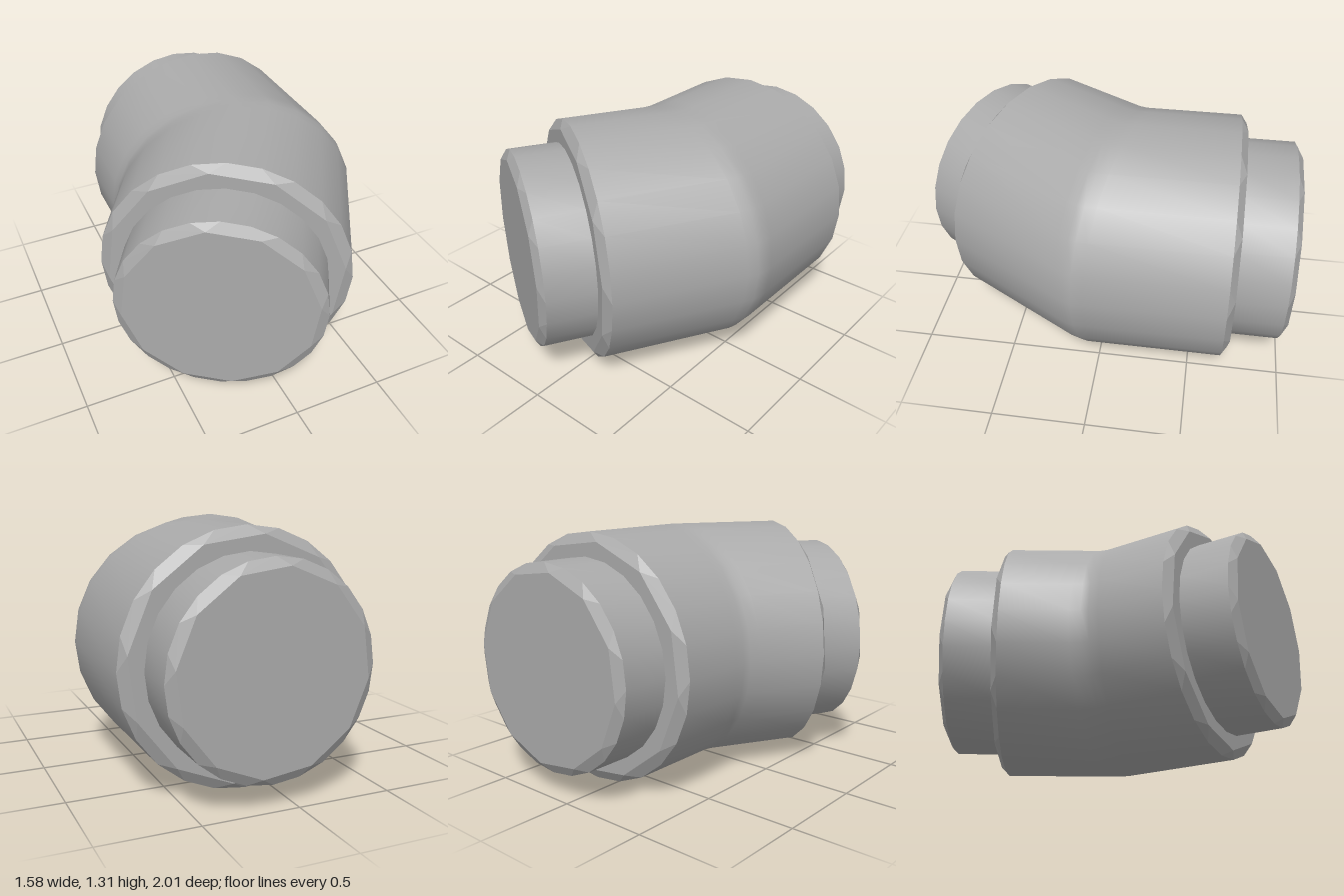
import * as THREE from 'three';

const SIDES = 24;
const BEND = Math.PI / 6;
const MITRE = Math.tan(BEND / 2);
const PIVOT = new THREE.Vector3(0.128, 0.658, -0.057);

// Ring of points round one arm; dir is 1 for the front arm, -1 for the back.
// reach is the distance from the bend, tilt leans the ring along the mitre.
function ring(dir, radius, reach, tilt = 0, sides = SIDES, phase = 0) {
  const turn = dir > 0 ? -BEND : 0;
  return Array.from({ length: sides }, (_, i) => {
    const a = phase + (i / sides) * Math.PI * 2;
    const x = radius * Math.cos(a);
    return new THREE.Vector3(x, radius * Math.sin(a), dir * (reach - x * tilt))
      .applyAxisAngle(new THREE.Vector3(0, 1, 0), turn)
      .add(PIVOT);
  });
}

// Smooth tube through rings ordered from back to front
function tube(rings) {
  const index = [];
  for (let r = 0; r < rings.length - 1; r++) {
    for (let i = 0; i < SIDES; i++) {
      const j = (i + 1) % SIDES;
      const a = r * SIDES + i, b = r * SIDES + j;
      index.push(a, b, b + SIDES, a, b + SIDES, a + SIDES);
    }
  }
  const g = new THREE.BufferGeometry().setFromPoints(rings.flat());
  g.setIndex(index);
  g.computeVertexNormals();
  return g;
}

// Faceted chamfer to a coarser rim, closed by a flat disc
function chamferedEnd(dir, outerRadius, innerRadius, reach, depth) {
  const half = SIDES / 2;
  const outer = ring(dir, outerRadius, reach - depth);
  const inner = ring(dir, innerRadius, reach, 0, half, Math.PI / SIDES);
  const centre = ring(dir, 0, reach, 0, 1)[0];
  const points = [];
  const face = (a, b, c) => points.push(...(dir > 0 ? [a, b, c] : [a, c, b]));
  for (let j = 0; j < half; j++) {
    const o0 = outer[2 * j], o1 = outer[2 * j + 1], o2 = outer[(2 * j + 2) % SIDES];
    const i0 = inner[j], i1 = inner[(j + 1) % half];
    face(o0, o1, i0);
    face(o1, o2, i0);
    face(o2, i1, i0);
    face(centre, i0, i1);
  }
  const g = new THREE.BufferGeometry().setFromPoints(points);
  g.computeVertexNormals();
  return g;
}

export function createModel() {
  const group = new THREE.Group();
  group.name = 'pipeElbow';
  const grey = new THREE.MeshStandardMaterial({ color: 0xaaaaaa });
  grey.name = 'grey';
  const add = (name, geometry) => {
    const mesh = new THREE.Mesh(geometry, grey);
    mesh.name = name;
    group.add(mesh);
  };

  const R = 0.657, r = 0.534;
  const bodyEnd = 0.653, stubEnd = 0.943;

  // Bent body with a softened mitre
  add('elbowBody', tube([
    ring(-1, R, bodyEnd - 0.035),
    ring(-1, R, 0.08, MITRE),
    ring(-1, R, 0.022, MITRE),
    ring(1, R, 0.022, MITRE),
    ring(1, R, 0.08, MITRE),
    ring(1, R, bodyEnd - 0.035),
  ]));

  // Matching shoulder and stub at each end
  for (const [dir, side] of [[1, 'front'], [-1, 'back']]) {
    add(side + 'Shoulder', chamferedEnd(dir, R, 0.618, bodyEnd, 0.035));
    const stub = [ring(dir, r, bodyEnd - 0.01), ring(dir, r, stubEnd - 0.03)];
    add(side + 'Stub', tube(dir > 0 ? stub : stub.reverse()));
    add(side + 'StubEnd', chamferedEnd(dir, r, 0.495, stubEnd, 0.03));
  }
  return group;
}
